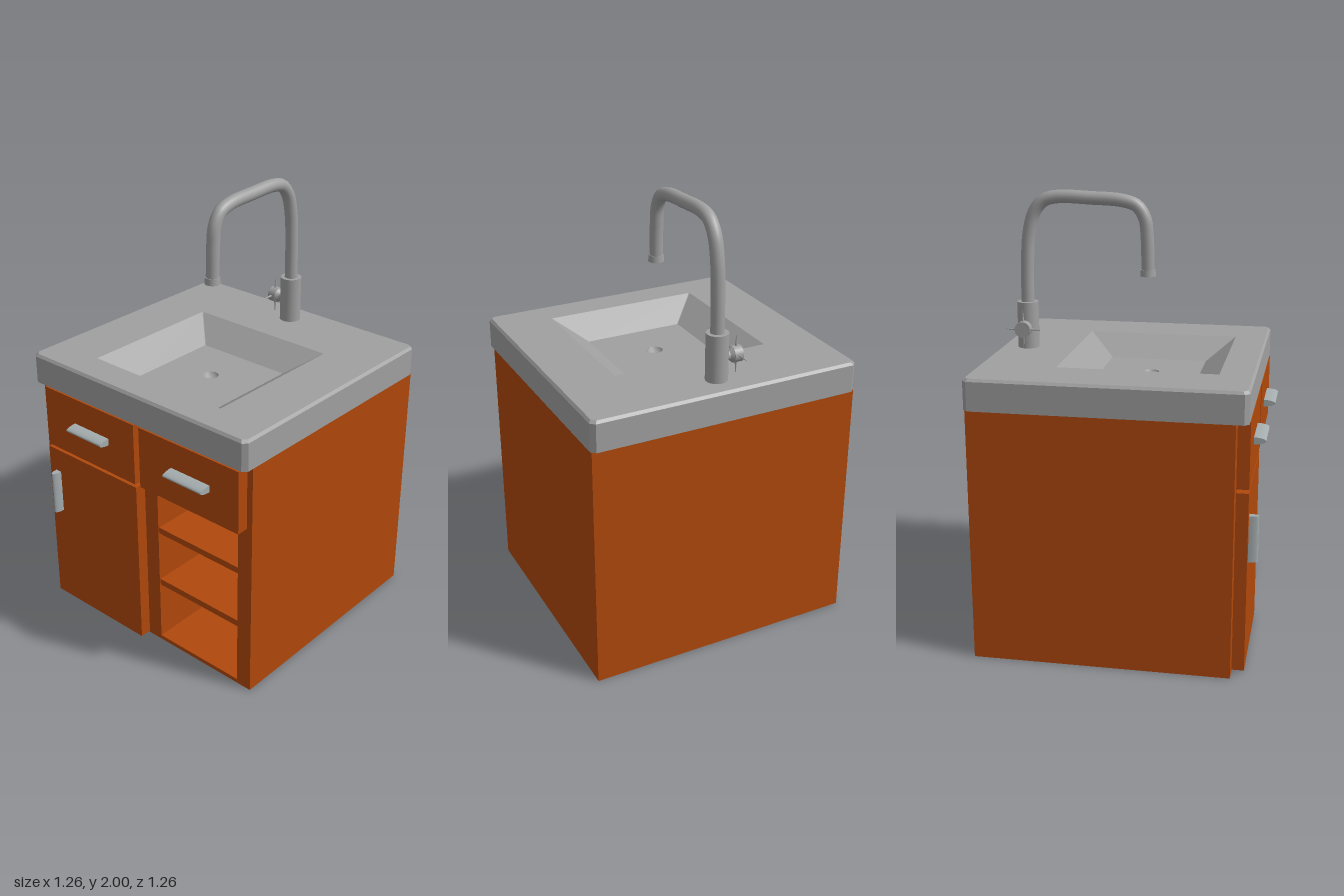
import * as THREE from 'three';

const mat = (name, color) => {
  const m = new THREE.MeshStandardMaterial({ color });
  m.name = name;
  return m;
};

export function createModel() {
  const wood = mat('orange wood', 0xb0480b);
  const stone = mat('grey stone and steel', 0xa0a0a0);
  const metal = mat('handle metal', 0xa4acae);
  const model = new THREE.Group();

  const add = (name, geometry, material, parent = model) => {
    const mesh = new THREE.Mesh(geometry, material);
    mesh.name = name;
    parent.add(mesh);
    return mesh;
  };
  const group = (name) => {
    const g = new THREE.Group();
    g.name = name;
    model.add(g);
    return g;
  };
  // Box given by its minimum and maximum corners
  const box = (name, x0, x1, y0, y1, z0, z1, material, parent) => {
    const mesh = add(name, new THREE.BoxGeometry(x1 - x0, y1 - y0, z1 - z0), material, parent);
    mesh.position.set((x0 + x1) / 2, (y0 + y1) / 2, (z0 + z1) / 2);
    return mesh;
  };
  const rect = (path, x0, x1, y0, y1) =>
    path.moveTo(x0, y0).lineTo(x1, y0).lineTo(x1, y1).lineTo(x0, y1).closePath();

  // Cabinet shell, open underneath
  const cabinet = group('cabinet');
  for (const s of [-1, 1]) {
    const wall = box('sideWall', -0.006, 0.006, 0, 1.14, -0.62, 0.52, wood, cabinet);
    wall.position.x = s * 0.619;
  }
  box('backWall', -0.613, 0.613, 0, 1.14, -0.62, -0.608, wood, cabinet);
  const front = rect(new THREE.Shape(), -0.613, 0.613, 0, 1.14);
  front.holes.push(rect(new THREE.Path(), 0.085, 0.55, 0.02, 0.82));
  add('frontFrame', new THREE.ExtrudeGeometry(front, { depth: 0.015, bevelEnabled: false }), wood, cabinet)
    .position.z = 0.505;

  // Open shelf compartment
  const nook = group('shelfCompartment');
  box('nookFloor', 0.075, 0.56, 0.01, 0.02, 0.19, 0.51, wood, nook);
  box('nookCeiling', 0.075, 0.56, 0.82, 0.83, 0.19, 0.51, wood, nook);
  box('nookBack', 0.075, 0.56, 0.01, 0.83, 0.19, 0.2, wood, nook);
  box('nookRightSide', 0.075, 0.085, 0.01, 0.83, 0.19, 0.51, wood, nook);
  box('nookLeftSide', 0.55, 0.56, 0.01, 0.83, 0.19, 0.51, wood, nook);
  for (const y of [0.31, 0.59]) box('shelf', 0.085, 0.55, y, y + 0.03, 0.2, 0.515, wood, nook);

  // Door and drawer fronts
  box('door', -0.56, 0.01, 0.008, 0.825, 0.521, 0.575, wood);
  box('rightDrawer', -0.555, 0.005, 0.84, 1.135, 0.521, 0.575, wood);
  box('leftDrawer', 0.037, 0.597, 0.84, 1.135, 0.521, 0.575, wood);

  // Pull handles: bars with a half-oval section, running along x
  const handle = (name, length, depth, x, y, upright) => {
    const section = new THREE.Shape();
    section.absellipse(0, 0, depth, 0.016, -Math.PI / 2, Math.PI / 2);
    const geo = new THREE.ExtrudeGeometry(section, { depth: length, bevelEnabled: false, curveSegments: 10 });
    geo.translate(0, 0, -length / 2).rotateY(-Math.PI / 2);
    const mesh = add(name, geo, metal);
    mesh.position.set(x, y, 0.574);
    if (upright) mesh.rotation.z = Math.PI / 2;
  };
  handle('rightDrawerHandle', 0.215, 0.054, -0.26, 0.995);
  handle('leftDrawerHandle', 0.215, 0.056, 0.333, 0.995);
  handle('doorHandle', 0.21, 0.043, -0.505, 0.605, true);

  // Countertop and basin: chamfered rectangles joined from underside to basin floor
  const ring = (y, x, z0, z1, c) => [
    [x - c, z1], [x, z1 - c], [x, z0 + c], [x - c, z0],
    [c - x, z0], [-x, z0 + c], [-x, z1 - c], [c - x, z1],
  ].map(([px, pz]) => [px, y, pz]);
  const rings = [
    ring(1.14, 0.02, -0.05, 0, 0.005),
    ring(1.14, 0.628, -0.63, 0.573, 0.02),
    ring(1.268, 0.628, -0.63, 0.573, 0.02),
    ring(1.28, 0.618, -0.62, 0.563, 0.018),
    ring(1.28, 0.367, -0.285, 0.422, 0.003),
    ring(1.185, 0.235, -0.157, 0.295, 0.002),
  ];
  const pos = [];
  for (let r = 0; r + 1 < rings.length; r++) {
    const a = rings[r], b = rings[r + 1];
    for (let i = 0; i < 8; i++) {
      const j = (i + 1) % 8;
      pos.push(...a[i], ...a[j], ...b[j], ...a[i], ...b[j], ...b[i]);
    }
  }
  const top = new THREE.BufferGeometry();
  top.setAttribute('position', new THREE.Float32BufferAttribute(pos, 3));
  top.computeVertexNormals();
  add('countertop', top, stone);

  const floor = rect(new THREE.Shape(), -0.235, 0.235, -0.295, 0.157);
  const drainHole = new THREE.Path();
  drainHole.absarc(0, -0.07, 0.036, 0, Math.PI * 2);
  floor.holes.push(drainHole);
  add('basinFloor', new THREE.ShapeGeometry(floor, 24).rotateX(-Math.PI / 2), stone).position.y = 1.185;
  // Drain cup, seen from inside
  const cup = [[0.036, 1.185], [0.026, 1.165], [0, 1.165]].map(([x, y]) => new THREE.Vector2(x, y));
  add('drain', new THREE.LatheGeometry(cup, 24), stone).position.z = 0.07;

  // Faucet
  const faucet = group('faucet');
  const cyl = (name, r0, r1, h, x, y, z) => {
    const mesh = add(name, new THREE.CylinderGeometry(r0, r1, h, 24), stone, faucet);
    mesh.position.set(x, y, z);
    return mesh;
  };
  cyl('faucetBase', 0.049, 0.049, 0.215, 0, 1.385, -0.505);
  const path = new THREE.CatmullRomCurve3([
    [-0.505, 1.46], [-0.502, 1.66], [-0.492, 1.8], [-0.465, 1.9], [-0.42, 1.953], [-0.36, 1.97],
    [-0.2, 1.967], [-0.06, 1.958], [0.005, 1.935], [0.04, 1.88], [0.05, 1.8], [0.055, 1.64],
  ].map(([z, y]) => new THREE.Vector3(0, y, z)));
  add('spout', new THREE.TubeGeometry(path, 64, 0.03, 16, false), stone, faucet);
  cyl('spoutTip', 0.033, 0.036, 0.03, 0, 1.64, 0.055);

  // Side valve with a thin four-pointed grip
  cyl('valveStem', 0.022, 0.022, 0.06, -0.05, 1.38, -0.505).rotation.z = Math.PI / 2;
  cyl('valveNeck', 0.036, 0.02, 0.02, -0.062, 1.38, -0.505).rotation.z = Math.PI / 2;
  cyl('valveKnob', 0.036, 0.036, 0.04, -0.09, 1.38, -0.505).rotation.z = Math.PI / 2;
  for (let i = 0; i < 4; i++) {
    const a = (i * Math.PI) / 2;
    const spike = cyl('valveGrip', 0.001, 0.006, 0.06,
      -0.092, 1.38 + 0.058 * Math.cos(a), -0.505 + 0.058 * Math.sin(a));
    spike.rotation.x = a;
  }
  return model;
}
